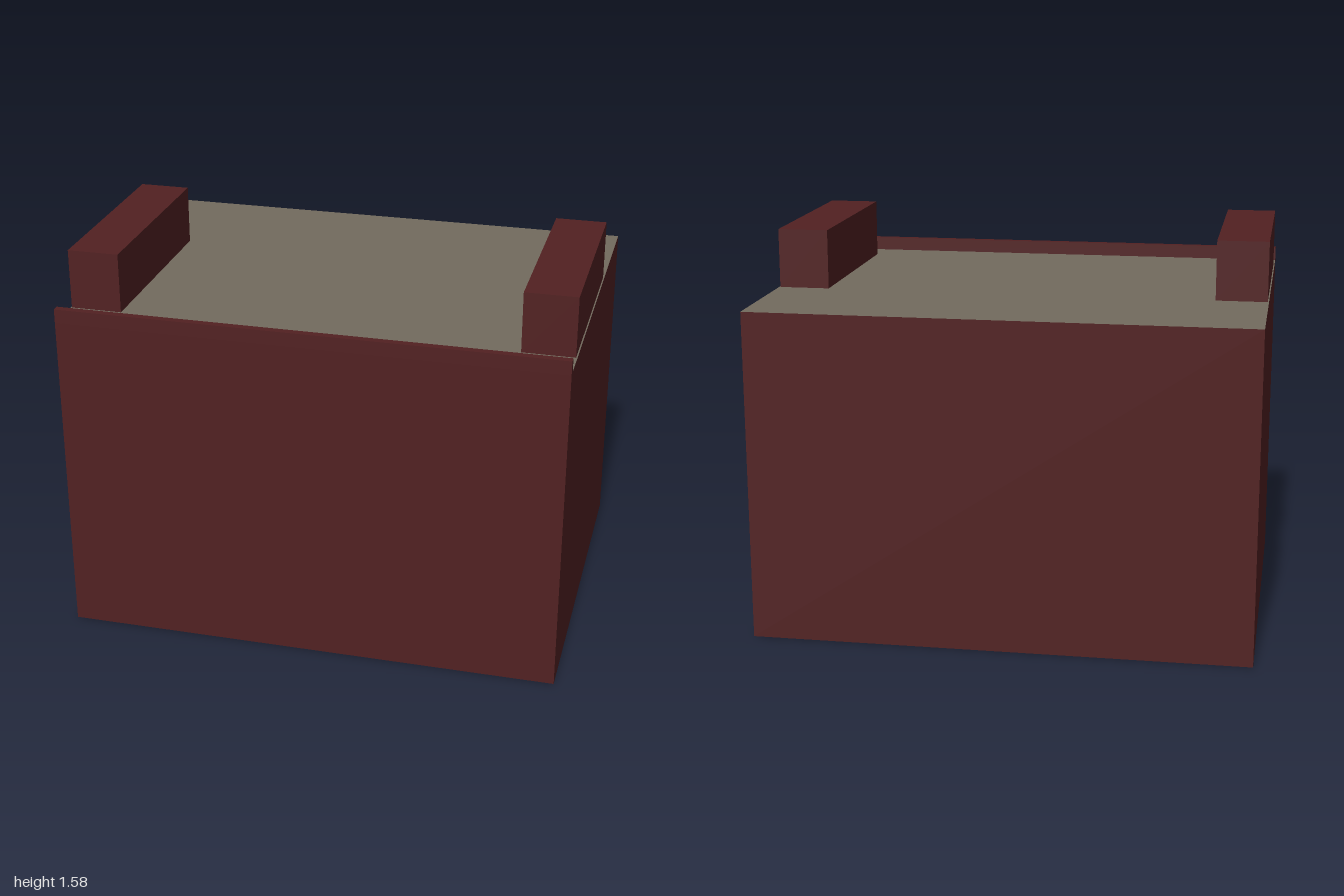
import * as THREE from 'three';

export function createModel() {
  const group = new THREE.Group();
  const maroon = new THREE.MeshStandardMaterial({ color: 0x522122, side: THREE.DoubleSide });
  maroon.name = 'dark maroon';
  const grey = new THREE.MeshStandardMaterial({ color: 0x736b5e, side: THREE.DoubleSide });
  grey.name = 'warm grey';

  const W = 2, H = 1.335, D = 1.5; // body width, height, depth

  const add = (name, geometry, material, x, y, z) => {
    const mesh = new THREE.Mesh(geometry, material);
    mesh.name = name;
    mesh.position.set(x, y, z);
    group.add(mesh);
  };

  // Thin outer walls, open underneath
  add('frontWall', new THREE.PlaneGeometry(W, H), maroon, 0, H / 2, D / 2);
  add('backWall', new THREE.PlaneGeometry(W, H).rotateY(Math.PI), maroon, 0, H / 2, -D / 2);
  for (const [name, side] of [['leftWall', 1], ['rightWall', -1]]) {
    add(name, new THREE.PlaneGeometry(D, H).rotateY(side * Math.PI / 2), maroon, side * W / 2, H / 2, 0);
  }

  // Inner divider running front to back
  add('centreDivider', new THREE.PlaneGeometry(D, H).rotateY(-Math.PI / 2), maroon, 0, H / 2, 0);

  // Flat top surface
  add('topSurface', new THREE.PlaneGeometry(W, D).rotateX(-Math.PI / 2), grey, 0, H, 0);

  // Low lip along the front edge
  add('frontLip', new THREE.BoxGeometry(W, 0.055, 0.03), maroon, 0, H + 0.0275, D / 2 - 0.015);

  // Raised blocks at both sides
  for (const [name, side] of [['leftBlock', 1], ['rightBlock', -1]]) {
    add(name, new THREE.BoxGeometry(0.205, 0.24, 0.83), maroon, side * 0.8925, H + 0.12, 0.175);
  }

  return group;
}
